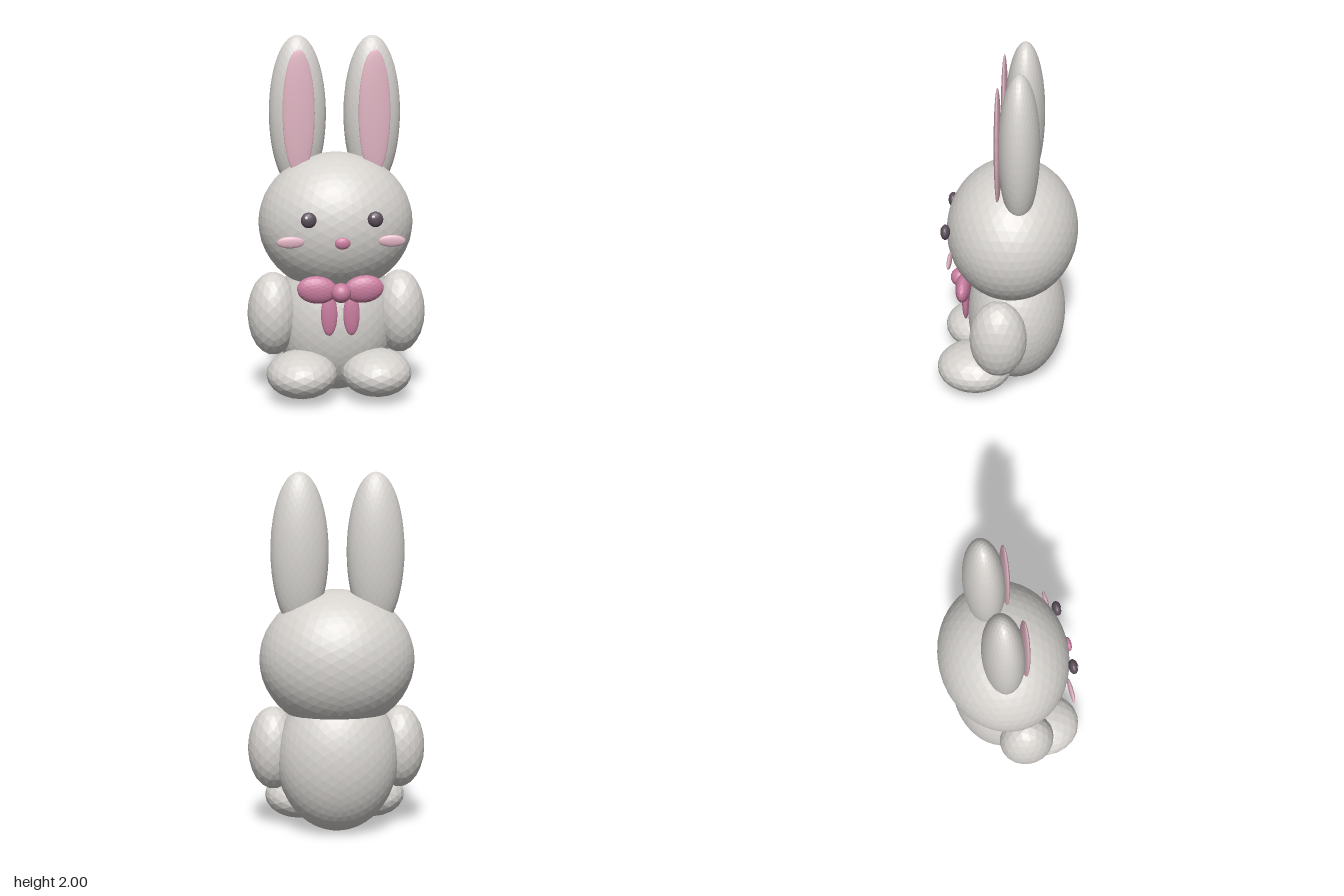
import * as THREE from 'three';

export function createModel() {
  const model = new THREE.Group();
  model.name = 'rabbit';

  const material = (name, color) => {
    const m = new THREE.MeshStandardMaterial({ color, flatShading: true });
    m.name = name;
    return m;
  };
  const fur = material('fur grey', 0xd6d3cf);
  const blush = material('pale pink', 0xdfb3c1);
  const bow = material('rose pink', 0xc97d9f);
  const eye = material('dark plum', 0x5c4f5a);
  const white = material('white', 0xffffff);

  // Faceted ellipsoids: fine for the large masses, coarse for the small ones
  const fine = new THREE.IcosahedronGeometry(1, 7);
  const coarse = new THREE.IcosahedronGeometry(1, 3);

  const blob = (name, mat, geometry, center, radii, tilt = 0) => {
    const mesh = new THREE.Mesh(geometry, mat);
    mesh.name = name;
    mesh.position.set(...center);
    mesh.scale.set(...radii);
    mesh.rotation.z = tilt;
    model.add(mesh);
  };

  // Mirrored pair: left is +x
  const pair = (name, mat, geometry, [x, y, z], radii, tilt = 0) => {
    blob('left' + name, mat, geometry, [x, y, z], radii, tilt);
    blob('right' + name, mat, geometry, [-x, y, z], radii, -tilt);
  };

  // Body and head
  blob('body', fur, fine, [0, 0.42, -0.05], [0.34, 0.415, 0.28]);
  blob('head', fur, fine, [0, 0.97, -0.025], [0.43, 0.39, 0.365]);

  // Ears
  pair('Ear', fur, fine, [0.207, 1.57, -0.075], [0.158, 0.43, 0.11]);
  pair('InnerEar', blush, fine, [0.208, 1.58, 0.037], [0.088, 0.345, 0.019]);

  // Limbs
  pair('Arm', fur, coarse, [0.355, 0.465, 0.025], [0.143, 0.235, 0.16]);
  pair('Foot', fur, coarse, [0.207, 0.155, 0.175], [0.195, 0.13, 0.215]);

  // Face
  pair('Eye', eye, coarse, [0.178, 1.035, 0.328], [0.042, 0.042, 0.026]);
  for (const side of [1, -1]) {
    blob(side > 0 ? 'leftEyeGlint' : 'rightEyeGlint', white, coarse,
      [side * 0.178 - 0.013, 1.05, 0.348], [0.009, 0.009, 0.007]);
  }
  pair('Cheek', blush, coarse, [0.272, 0.912, 0.296], [0.074, 0.032, 0.013]);
  blob('nose', bow, coarse, [0, 0.912, 0.353], [0.042, 0.032, 0.018]);

  // Bow tie
  pair('BowLoop', bow, coarse, [0.127, 0.64, 0.243], [0.11, 0.076, 0.043], 0.1);
  pair('BowTail', bow, coarse, [0.061, 0.5, 0.238], [0.045, 0.118, 0.021]);
  blob('bowKnot', bow, coarse, [0, 0.627, 0.275], [0.054, 0.054, 0.054]);

  return model;
}
